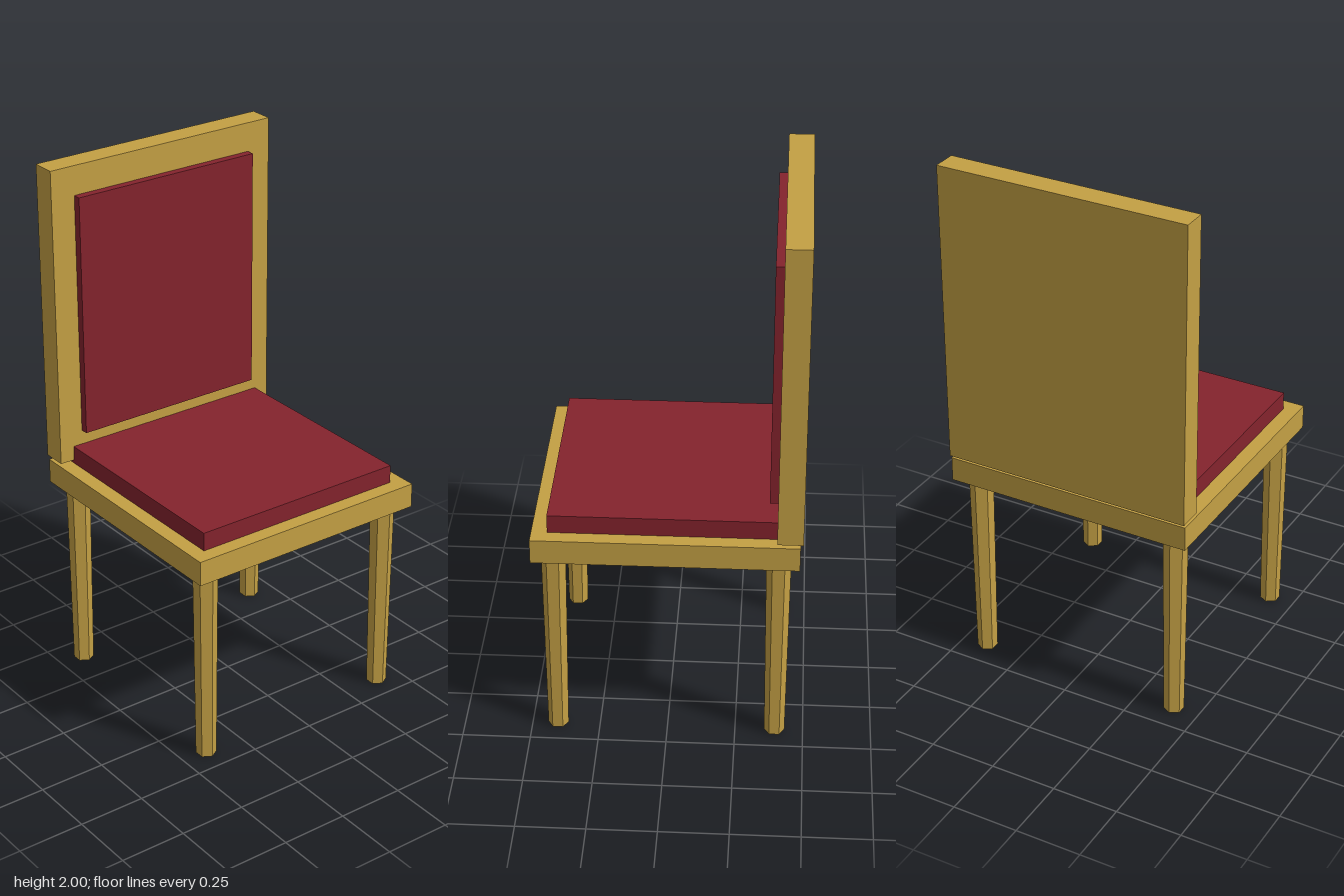
import * as THREE from 'three';

export function createModel() {
  const chair = new THREE.Group();
  chair.name = 'chair';
  const wood = new THREE.MeshStandardMaterial({ color: 0xc4a044, flatShading: true });
  const fabric = new THREE.MeshStandardMaterial({ color: 0x84232d, flatShading: true });

  // Box centred on x, given its width and its y and z ranges
  function slab(name, material, width, [y0, y1], [z0, z1]) {
    const mesh = new THREE.Mesh(new THREE.BoxGeometry(width, y1 - y0, z1 - z0), material);
    mesh.name = name;
    mesh.position.set(0, (y0 + y1) / 2, (z0 + z1) / 2);
    chair.add(mesh);
  }

  // Seat and its cushion
  slab('seat', wood, 0.95, [0.755, 0.848], [-0.47, 0.48]);
  slab('seatCushion', fabric, 0.836, [0.848, 0.917], [-0.414, 0.423]);

  // Backrest, floating just above the seat, with its pad
  slab('backrest', wood, 0.95, [0.862, 2], [-0.48, -0.388]);
  slab('backrestPad', fabric, 0.76, [0.973, 1.89], [-0.395, -0.358]);

  // Four tapered six-sided legs
  const legGeometry = new THREE.CylinderGeometry(0.0445, 0.0375, 0.755, 6);
  for (const [end, z] of [['front', 0.405], ['back', -0.395]]) {
    for (const [side, x] of [['Left', 0.4], ['Right', -0.4]]) {
      const leg = new THREE.Mesh(legGeometry, wood);
      leg.name = end + side + 'Leg';
      leg.position.set(x, 0.755 / 2, z);
      chair.add(leg);
    }
  }
  return chair;
}
